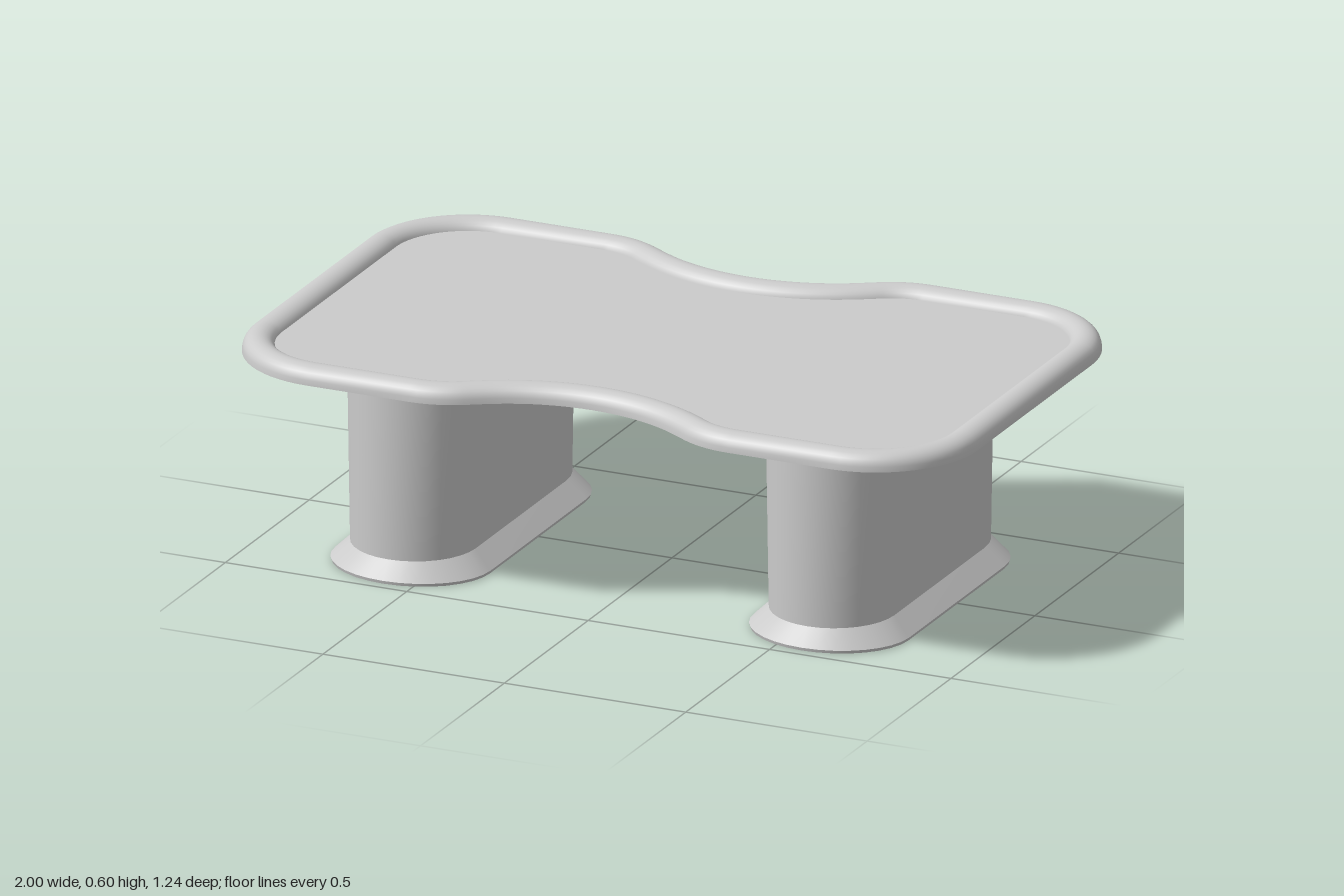
import * as THREE from 'three';

const material = new THREE.MeshStandardMaterial({ color: 0xcccccc, side: THREE.DoubleSide });

function mesh(name, geometry) {
  const m = new THREE.Mesh(geometry, material);
  m.name = name;
  return m;
}

// Skin between closed rings of [x, y, z] points
function loft(rings) {
  const n = rings[0].length, index = [];
  for (let r = 0; r < rings.length - 1; r++) {
    for (let i = 0; i < n; i++) {
      const a = r * n + i, b = r * n + (i + 1) % n;
      index.push(a, b, b + n, a, b + n, a + n);
    }
  }
  const g = new THREE.BufferGeometry();
  g.setAttribute('position', new THREE.Float32BufferAttribute(rings.flat(2), 3));
  g.setIndex(index);
  g.computeVertexNormals();
  return g;
}

// Arc points with outward normals; sign -1 marks a concave arc
function arc(cx, cy, r, from, to, steps, sign = 1) {
  return Array.from({ length: steps + 1 }, (_, i) => {
    const a = THREE.MathUtils.degToRad(from + (to - from) * i / steps);
    const c = Math.cos(a), s = Math.sin(a);
    return { x: cx + r * c, y: cy + r * s, nx: sign * c, ny: sign * s };
  });
}

// Tabletop outline: one quadrant mirrored, counter-clockwise
function tableOutline() {
  const q = [
    ...arc(0.72, 0.34, 0.28, 0, 90, 16),
    ...arc(0.44, 0.355, 0.265, 90, 125, 8),
    ...arc(0, 0.982, 0.5, -55, -90, 10, -1).slice(1),
  ];
  const flip = (p, sx, sy) => ({ x: p.x * sx, y: p.y * sy, nx: p.nx * sx, ny: p.ny * sy });
  const half = [...q, ...q.slice(0, -1).reverse().map(p => flip(p, -1, 1))];
  return [...half, ...half.map(p => flip(p, -1, -1))];
}

function inset(outline, d) {
  return outline.map(p => [p.x - p.nx * d, p.y - p.ny * d]);
}

// Rounded-end footprint of a leg at a given height
function legRing(halfX, halfZ, y) {
  const endZ = Math.min(halfX, 0.18), n = 16, ring = [];
  for (const side of [1, -1]) {
    for (let i = 0; i <= n; i++) {
      const a = Math.PI * i / n;
      ring.push([side * halfX * Math.cos(a), y, -side * (halfZ - endZ + endZ * Math.sin(a))]);
    }
  }
  return ring;
}

export function createModel() {
  const model = new THREE.Group();
  const outline = tableOutline();
  const bottom = 0.555, height = 0.045, width = 0.085;
  const ringAt = (d, y) => inset(outline, d).map(([x, z]) => [x, y, -z]);

  // Padded rail: domed top and flat underside
  const rail = new THREE.Group();
  rail.name = 'rail';
  const dome = [];
  for (let i = 0; i <= 14; i++) {
    const a = Math.PI * i / 14;
    dome.push(ringAt(width / 2 * (1 - Math.cos(a)), bottom + height * Math.pow(Math.sin(a), 0.8)));
  }
  rail.add(mesh('railPadding', loft(dome)));
  rail.add(mesh('railUnderside', loft([ringAt(width, bottom), ringAt(0, bottom)])));
  model.add(rail);

  // Recessed playing surface
  const shape = new THREE.Shape(inset(outline, width - 0.003).map(([x, y]) => new THREE.Vector2(x, y)));
  const panel = new THREE.ExtrudeGeometry(shape, { depth: 0.018, bevelEnabled: false });
  panel.rotateX(-Math.PI / 2);
  panel.translate(0, bottom + 0.001, 0);
  model.add(mesh('playingSurface', panel));

  // Hollow tapered legs with flared feet
  for (const side of [1, -1]) {
    const leg = new THREE.Group();
    leg.name = side > 0 ? 'leftLeg' : 'rightLeg';
    leg.add(mesh('legWall', loft([legRing(0.165, 0.435, 0.055), legRing(0.178, 0.435, 0.558)])));
    leg.add(mesh('footFlare', loft([legRing(0.213, 0.466, 0.008), legRing(0.165, 0.435, 0.055)])));
    leg.add(mesh('footLip', loft([legRing(0.211, 0.464, 0), legRing(0.213, 0.466, 0.008)])));
    leg.position.set(side * 0.577, 0, 0.009);
    model.add(leg);
  }
  return model;
}
